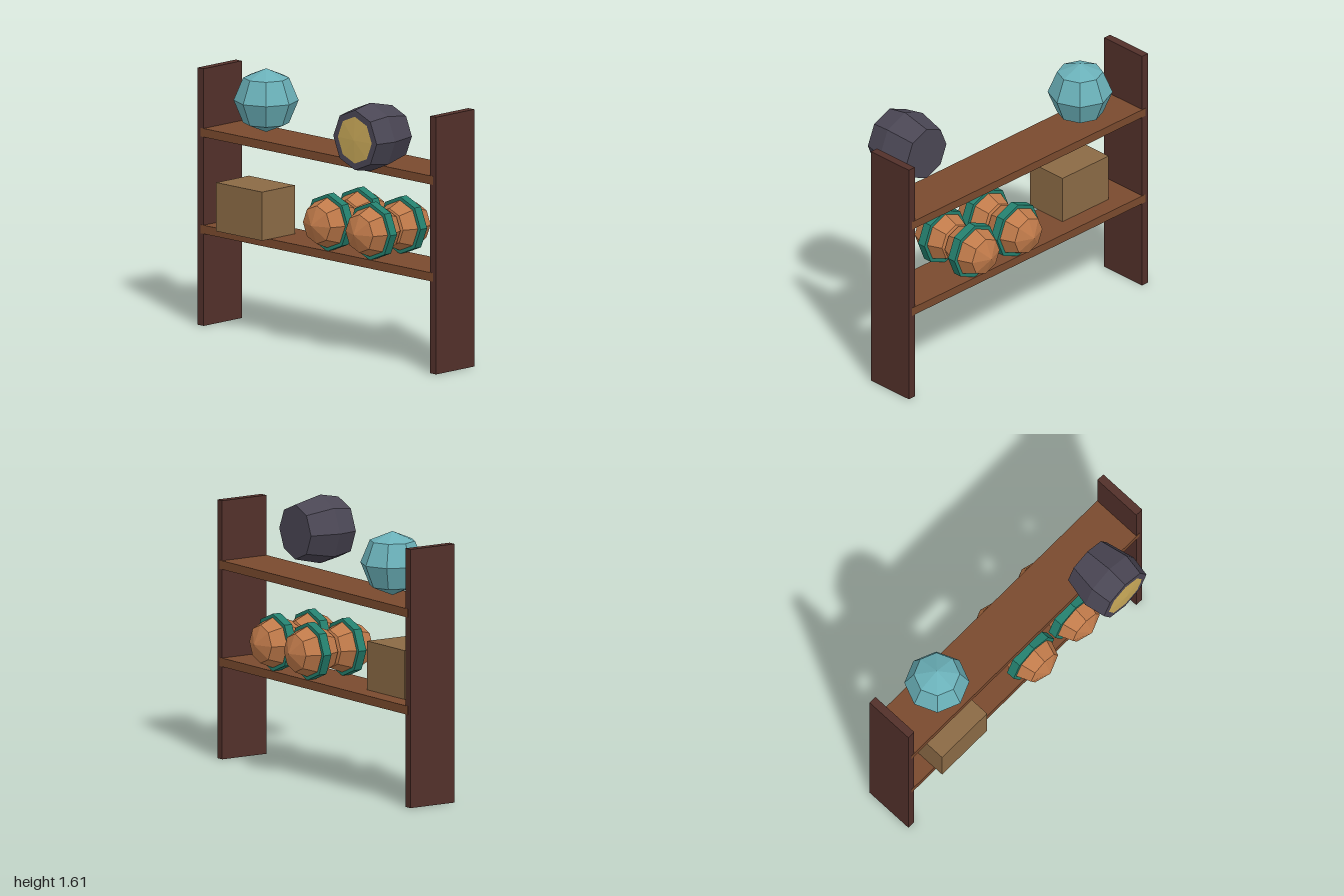
import * as THREE from 'three';

const mat = (name, color) => {
  const m = new THREE.MeshStandardMaterial({ color });
  m.name = name;
  return m;
};

// Faceted look: every face gets its own normal
function faceted(geometry) {
  const g = geometry.index ? geometry.toNonIndexed() : geometry;
  g.computeVertexNormals();
  return g;
}

function add(parent, name, geometry, material, x = 0, y = 0, z = 0) {
  const mesh = new THREE.Mesh(geometry, material);
  mesh.name = name;
  mesh.position.set(x, y, z);
  parent.add(mesh);
  return mesh;
}

// Eight-sided drum along z, from the back radius to the front radius
function drum(front, back, depth, open = false) {
  return faceted(new THREE.CylinderGeometry(front, back, depth, 8, 1, open).rotateX(Math.PI / 2));
}

export function createModel() {
  const group = new THREE.Group();
  group.name = 'shelfWithOrnaments';

  const darkWood = mat('dark wood', 0x52302a);
  const shelfWood = mat('shelf wood', 0x7a4a2e);
  const crateWood = mat('crate wood', 0x8b6a45);
  const aqua = mat('aqua', 0x6ab0b8);
  const copper = mat('copper', 0xc07a4a);
  const green = mat('green', 0x24806e);
  const slate = mat('slate', 0x4a4654);
  const gold = mat('gold', 0xc8a858);

  const midZ = -0.073;

  // Upright side panels
  for (const side of [-1, 1]) {
    add(group, side > 0 ? 'leftPanel' : 'rightPanel',
      new THREE.BoxGeometry(0.05, 1.56, 0.32), darkWood, side * 0.975, 0.78, midZ);
  }

  // Two shelves, a hair deeper than the panels
  for (const [name, y] of [['lowerShelf', 0.585], ['upperShelf', 1.172]]) {
    add(group, name, new THREE.BoxGeometry(1.95, 0.052, 0.324), shelfWood, 0, y, midZ);
  }

  // Crate on the lower shelf
  add(group, 'crate', new THREE.BoxGeometry(0.385, 0.295, 0.275), crateWood, -0.587, 0.758, 0.015);

  // Aqua ball on the upper shelf
  add(group, 'aquaBall', faceted(new THREE.SphereGeometry(0.193, 8, 4)), aqua, -0.588, 1.4, -0.075);

  // Four banded balls, two deep, with their poles along z
  const ball = faceted(new THREE.SphereGeometry(0.163, 8, 4).rotateX(Math.PI / 2));
  const band = drum(0.174, 0.174, 0.055);
  for (const x of [0.08, 0.437]) {
    for (const z of [0.054, -0.199]) {
      const banded = new THREE.Group();
      banded.name = 'bandedBall';
      banded.position.set(x, 0.781, z);
      add(banded, 'ballBody', ball, copper);
      add(banded, 'ballBand', band, green);
      group.add(banded);
    }
  }

  // Dark pot lying on its side, facing forward, with a shallow gold face
  const pot = new THREE.Group();
  pot.name = 'darkPot';
  pot.position.set(0.582, 1.398, 0.22);
  const profile = [[0, -0.182], [0.165, -0.182], [0.207, 0], [0.182, 0.13], [0, 0.13]]
    .map(([r, z]) => new THREE.Vector2(r, z));
  add(pot, 'potBody', faceted(new THREE.LatheGeometry(profile, 8).rotateX(Math.PI / 2)), slate);
  add(pot, 'potFace', drum(0, 0.142, 0.009, true), gold, 0, 0, 0.1365);
  group.add(pot);

  return group;
}
